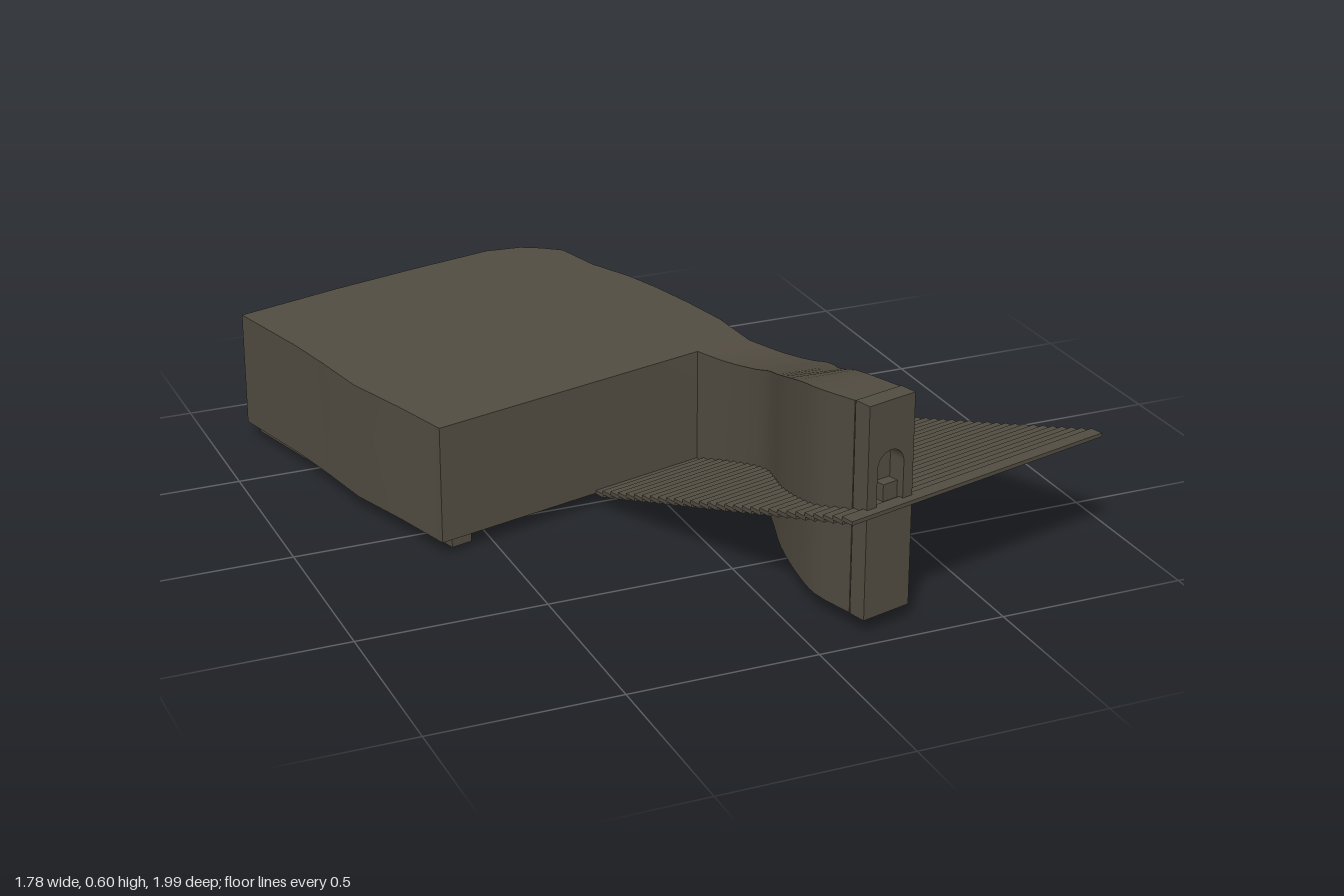
import * as THREE from 'three';
import { toCreasedNormals } from 'three/addons/utils/BufferGeometryUtils.js';

const BASE = 0.04; // underside of the building
const TURN = 0.262; // plan rotation of the whole layout

export function createModel() {
  const model = new THREE.Group();
  const stone = new THREE.MeshStandardMaterial({ color: 0x524c41 });
  stone.name = 'dark stone';

  const add = (name, geometry, x = 0, y = 0, z = 0, turn = 0, parent = model) => {
    const mesh = new THREE.Mesh(geometry, stone);
    mesh.name = name;
    mesh.position.set(x, y, z);
    mesh.rotation.y = turn;
    parent.add(mesh);
    return mesh;
  };

  // Main hall: plan outline (x, z) raised to a flat roof
  const plan = [
    [-0.65, 0.15], [0.15, -0.06], [0.31, -0.08], [0.3, -0.25], [0.27, -0.4], [0.235, -0.54],
    [0.2, -0.65], [0.14, -0.78], [0.105, -0.92], [0.055, -0.96], [0, -0.99], [-0.1, -1],
    [-0.34, -0.945], [-0.59, -0.88], [-0.89, -0.79], [-0.82, -0.52], [-0.79, -0.37],
    [-0.76, -0.2], [-0.7, -0.02],
  ];
  const outline = new THREE.Shape(plan.map(([x, z]) => new THREE.Vector2(x, -z)));
  const hall = new THREE.ExtrudeGeometry(outline, { depth: 0.318, bevelEnabled: false });
  hall.rotateX(-Math.PI / 2);
  add('hall', toCreasedNormals(hall, 0.6), 0, BASE, 0);

  // Winding wing: inner x, z, outer x, z, roof height
  const stations = [
    [0.15, -0.06, 0.31, -0.08, 0.358],
    [0.18, 0.05, 0.345, 0.05, 0.366],
    [0.2, 0.2, 0.36, 0.2, 0.398],
    [0.197, 0.28, 0.355, 0.28, 0.425],
    [0.17, 0.38, 0.33, 0.38, 0.46],
    [0.13, 0.51, 0.28, 0.52, 0.51],
    [0.1, 0.68, 0.25, 0.66, 0.565],
    [0.095, 0.78, 0.25, 0.76, 0.587],
    [0.127, 0.902, 0.267, 0.872, 0.6],
  ];
  const rail = (i) => new THREE.CatmullRomCurve3(
    stations.map((s) => new THREE.Vector3(s[i], s[4], s[i + 1])));
  const inner = rail(0);
  const outer = rail(2);
  const COUNT = 24;
  const rings = [];
  for (let i = 0; i <= COUNT; i++) {
    const a = inner.getPoint(i / COUNT);
    const b = outer.getPoint(i / COUNT);
    rings.push([[a.x, BASE, a.z], [b.x, BASE, b.z], [b.x, b.y, b.z], [a.x, a.y, a.z]]);
  }
  const positions = [];
  const quad = (a, b, c, d) => positions.push(...a, ...b, ...d, ...b, ...c, ...d);
  for (let i = 0; i < COUNT; i++) {
    for (let k = 0; k < 4; k++) {
      const n = (k + 1) % 4;
      quad(rings[i][k], rings[i][n], rings[i + 1][n], rings[i + 1][k]);
    }
  }
  quad(...rings[COUNT]);
  const wing = new THREE.BufferGeometry();
  wing.setAttribute('position', new THREE.Float32BufferAttribute(positions, 3));
  add('windingWing', toCreasedNormals(wing, 0.6));

  // End wall with an arched doorway
  const wall = new THREE.Shape();
  wall.moveTo(-0.0725, 0.04);
  wall.lineTo(0.0725, 0.04);
  wall.lineTo(0.0725, 0.602);
  wall.lineTo(-0.0725, 0.602);
  wall.closePath();
  const door = new THREE.Path();
  door.moveTo(-0.042, 0.33);
  door.lineTo(-0.042, 0.43);
  door.absarc(0, 0.43, 0.042, Math.PI, 0, true);
  door.lineTo(0.042, 0.33);
  door.closePath();
  wall.holes.push(door);
  const entrance = new THREE.Group();
  entrance.name = 'entrance';
  entrance.position.set(0.197, 0, 0.887);
  entrance.rotation.y = TURN;
  model.add(entrance);
  add('doorWall', new THREE.ExtrudeGeometry(wall, { depth: 0.05, bevelEnabled: false, curveSegments: 8 }),
    0, 0, 0, 0, entrance);
  add('doorStep', new THREE.BoxGeometry(0.045, 0.045, 0.03), 0.018, 0.352, 0.016, 0, entrance);

  // Broad flight of thin steps rising to the doorway
  const stairs = new THREE.Group();
  stairs.name = 'stairs';
  stairs.position.set(0.355, 0, 0.4);
  stairs.rotation.y = TURN;
  model.add(stairs);
  const STEPS = 30;
  const tread = new THREE.BoxGeometry(0.838, 0.0105, 0.037);
  for (let i = 0; i < STEPS; i++) {
    add('step', tread, 0, 0.043 + (i * 0.285) / (STEPS - 1), -0.485 + (i * 0.97) / (STEPS - 1), 0, stairs);
  }

  // Four foundation runners under the hall
  const feet = [[-0.62, 0.005, 0.012], [-0.8, -0.665, 0.012], [-0.09, -0.135, 0], [-0.27, -0.815, 0]];
  for (const [x, z, bottom] of feet) {
    const height = BASE + 0.005 - bottom;
    add('foot', new THREE.BoxGeometry(0.06, height, 0.243), x, bottom + height / 2, z, TURN);
  }

  return model;
}
